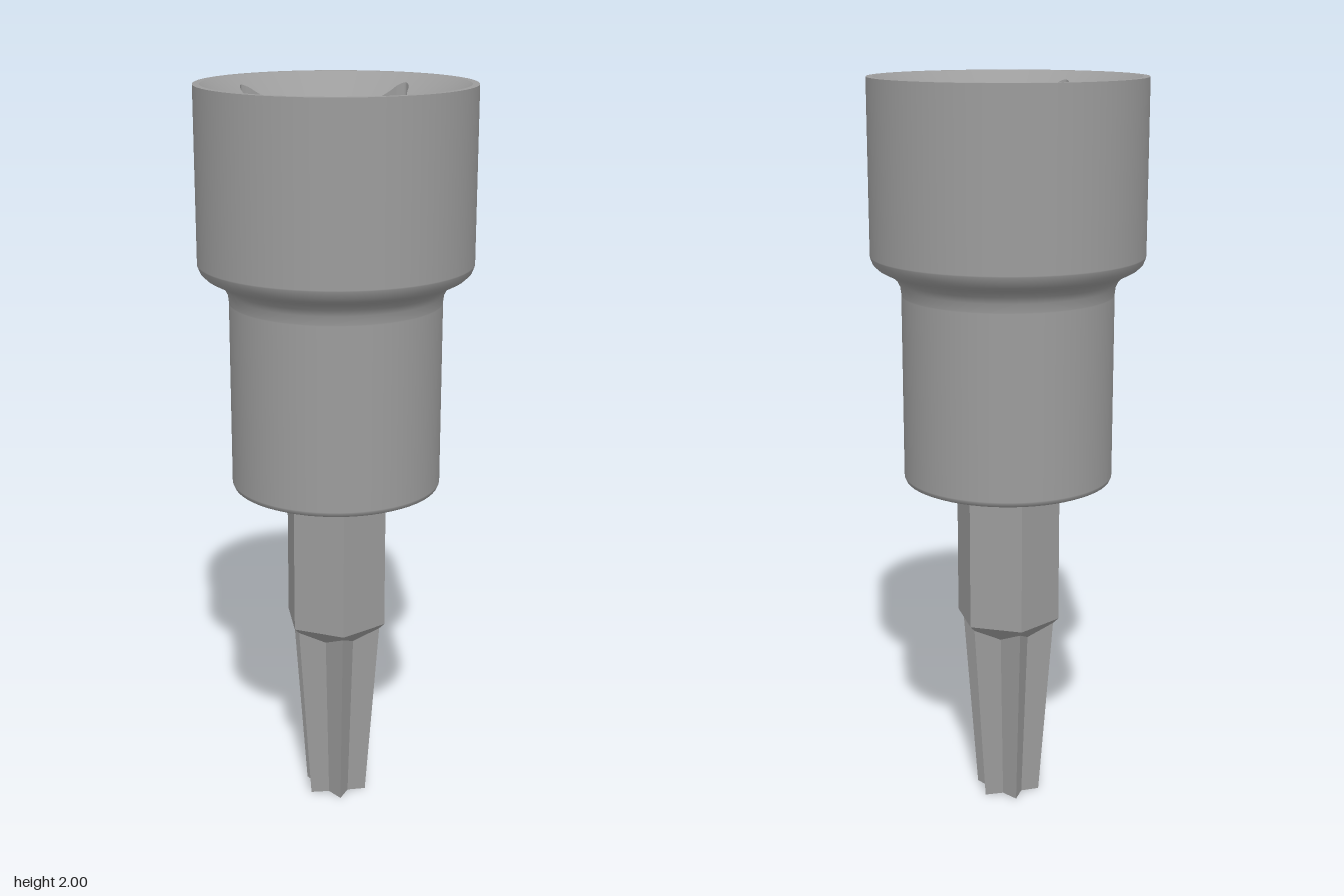
import * as THREE from 'three';
import { toCreasedNormals } from 'three/addons/utils/BufferGeometryUtils.js';

// Joins closed loops of [x, y, z] points, listed bottom to top along the outside.
function loft(loops) {
  const n = loops[0].length;
  const index = [];
  for (let k = 0; k < loops.length - 1; k++) {
    for (let i = 0; i < n; i++) {
      const j = (i + 1) % n;
      const a = k * n + i, b = k * n + j, c = a + n, d = b + n;
      index.push(a, b, d, a, d, c);
    }
  }
  const geometry = new THREE.BufferGeometry();
  geometry.setAttribute('position', new THREE.Float32BufferAttribute(loops.flat(2), 3));
  geometry.setIndex(index);
  return geometry;
}

// A loop at the given angles; radius and height may depend on the point.
function loop(angles, radius, height) {
  return angles.map((t, i) => {
    const r = typeof radius === 'function' ? radius(i) : radius;
    const y = typeof height === 'function' ? height(i) : height;
    return [r * Math.sin(t), y, r * Math.cos(t)];
  });
}

// Turned outer shell: sleeve, filleted shoulder and drive head.
// Close pairs of points keep the shading of long and flat faces clean.
function makeShell() {
  const profile = [
    [0.05, 0.93], [0.266, 0.93], [0.269, 0.93], [0.278, 0.934], [0.282, 0.943], [0.282, 0.946],
    [0.282, 1.437], [0.282, 1.44], [0.285, 1.463], [0.294, 1.481], [0.308, 1.494],
    [0.326, 1.503], [0.343, 1.512], [0.356, 1.524], [0.363, 1.542], [0.363, 1.545], [0.363, 2],
  ].map(([r, y]) => new THREE.Vector2(r, y));
  return new THREE.LatheGeometry(profile, 60);
}

// Rim, conical lead-in, square drive recess with relieved corners, floor and bore
function makeRecess() {
  const corner = [
    [0.205, 0], [0.206, 0.08], [0.211, 0.15], [0.218, 0.18], [0.225, 0.2],
    [0.221, 0.221], [0.2, 0.225], [0.18, 0.218], [0.15, 0.211], [0.08, 0.206],
  ];
  const points = [];
  for (let q = 0; q < 4; q++) {
    const a = q * Math.PI / 2;
    for (const [u, v] of corner) {
      points.push(new THREE.Vector3(
        v * Math.cos(a) + u * Math.sin(a), 0, u * Math.cos(a) - v * Math.sin(a)));
    }
  }
  const outline = new THREE.CatmullRomCurve3(points, true).getPoints(160).slice(0, 160);
  const angles = outline.map((p) => Math.atan2(p.x, p.z));
  const square = (i) => outline[i].length();
  const coneY = (i) => 2 - (0.345 - square(i)) * 0.68;
  return toCreasedNormals(loft([
    loop(angles, 0.363, 2),
    loop(angles, 0.345, 2),
    loop(angles, square, coneY),
    loop(angles, square, 1.54),
    loop(angles, 0.122, 1.54),
    loop(angles, 0.122, 1.3),
    loop(angles, 0, 1.3),
  ]), 0.5);
}

// Hex shank that bevels into a tapered six-pointed tip
function makeBit() {
  const angles = Array.from({ length: 12 }, (_, i) => i * Math.PI / 6);
  const star = (tip, valley) => (i) => (i % 2 ? valley : tip);
  const hex = star(0.145, 0.1256);
  const top = star(0.13, 0.077);
  return loft([
    loop(angles, 0, 0),
    loop(angles, star(0.09, 0.054), 0),
    loop(angles, top, (i) => 0.53 - (hex(i) - top(i))),
    loop(angles, hex, 0.53),
    loop(angles, hex, 0.935),
  ]);
}

export function createModel() {
  const group = new THREE.Group();
  group.name = 'bitSocket';
  const steel = 0x9c9c9c;
  const smooth = new THREE.MeshStandardMaterial({ color: steel });
  const faceted = new THREE.MeshStandardMaterial({ color: steel, flatShading: true });
  const add = (name, geometry, material) => {
    const mesh = new THREE.Mesh(geometry, material);
    mesh.name = name;
    group.add(mesh);
  };
  add('socketShell', makeShell(), smooth);
  add('driveRecess', makeRecess(), smooth);
  add('starBit', makeBit().toNonIndexed(), faceted);
  return group;
}
